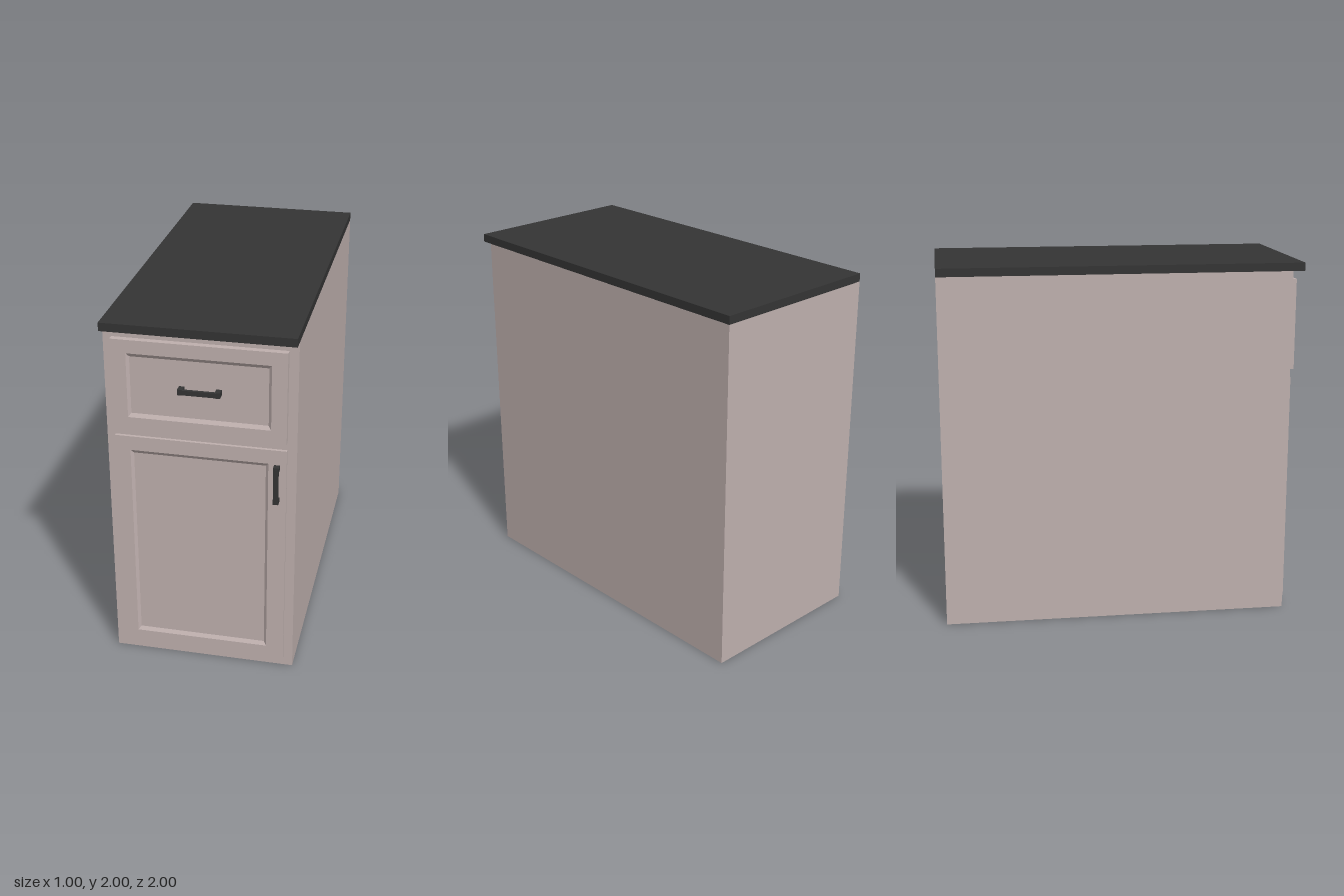
import * as THREE from 'three';

const paint = new THREE.MeshStandardMaterial({ color: 0xbfb0ae });
paint.name = 'cabinet paint';
const dark = new THREE.MeshStandardMaterial({ color: 0x343434 });
dark.name = 'dark counter and metal';

function box(name, material, x0, x1, y0, y1, z0, z1) {
  const mesh = new THREE.Mesh(new THREE.BoxGeometry(x1 - x0, y1 - y0, z1 - z0), material);
  mesh.position.set((x0 + x1) / 2, (y0 + y1) / 2, (z0 + z1) / 2);
  mesh.name = name;
  return mesh;
}

// Panel front: rectangular loops joined into edges, frame, sloped recess and centre
function recessedPanel(name, loops) {
  const points = [];
  const index = [];
  for (const [x0, x1, y0, y1, z] of loops) {
    points.push(x0, y0, z, x1, y0, z, x1, y1, z, x0, y1, z);
  }
  for (let i = 0; i < loops.length - 1; i++) {
    for (let j = 0; j < 4; j++) {
      const a = i * 4 + j, b = i * 4 + (j + 1) % 4;
      index.push(a, b, b + 4, a, b + 4, a + 4);
    }
  }
  const c = (loops.length - 1) * 4;
  index.push(c, c + 1, c + 2, c, c + 2, c + 3);
  const indexed = new THREE.BufferGeometry();
  indexed.setAttribute('position', new THREE.Float32BufferAttribute(points, 3));
  indexed.setIndex(index);
  const geometry = indexed.toNonIndexed();
  geometry.computeVertexNormals();
  const mesh = new THREE.Mesh(geometry, paint);
  mesh.name = name;
  return mesh;
}

// Bar pull along x, standing on z = 0
function pull(name, length, depth) {
  const group = new THREE.Group();
  group.name = name;
  const h = length / 2;
  group.add(box('gripBar', dark, -h + 0.01, h - 0.01, -0.013, 0.013, depth - 0.016, depth));
  for (const s of [-1, 1]) {
    const x = s * (h - 0.014);
    group.add(box('post', dark, x - 0.014, x + 0.014, -0.015, 0.015, 0, depth - 0.001));
  }
  return group;
}

export function createModel() {
  const model = new THREE.Group();
  model.name = 'baseCabinet';

  model.add(box('cabinetBody', paint, -0.5, 0.5, 0, 1.955, -1, 0.935));
  model.add(box('countertop', dark, -0.5, 0.5, 1.955, 2, -1, 1));

  model.add(recessedPanel('drawerFront', [
    [-0.455, 0.45, 1.4, 1.905, 0.935],
    [-0.455, 0.45, 1.4, 1.905, 0.968],
    [-0.375, 0.37, 1.475, 1.832, 0.968],
    [-0.36, 0.355, 1.495, 1.812, 0.955],
  ]));
  model.add(recessedPanel('door', [
    [-0.455, 0.45, 0.05, 1.355, 0.935],
    [-0.455, 0.45, 0.05, 1.355, 0.952],
    [-0.375, 0.355, 0.125, 1.275, 0.952],
    [-0.36, 0.34, 0.145, 1.255, 0.939],
  ]));

  const drawerPull = pull('drawerPull', 0.22, 0.045);
  drawerPull.position.set(0.005, 1.656, 0.955);
  model.add(drawerPull);

  const doorPull = pull('doorPull', 0.216, 0.034);
  doorPull.rotation.z = Math.PI / 2;
  doorPull.position.set(0.4, 1.163, 0.952);
  model.add(doorPull);

  return model;
}
